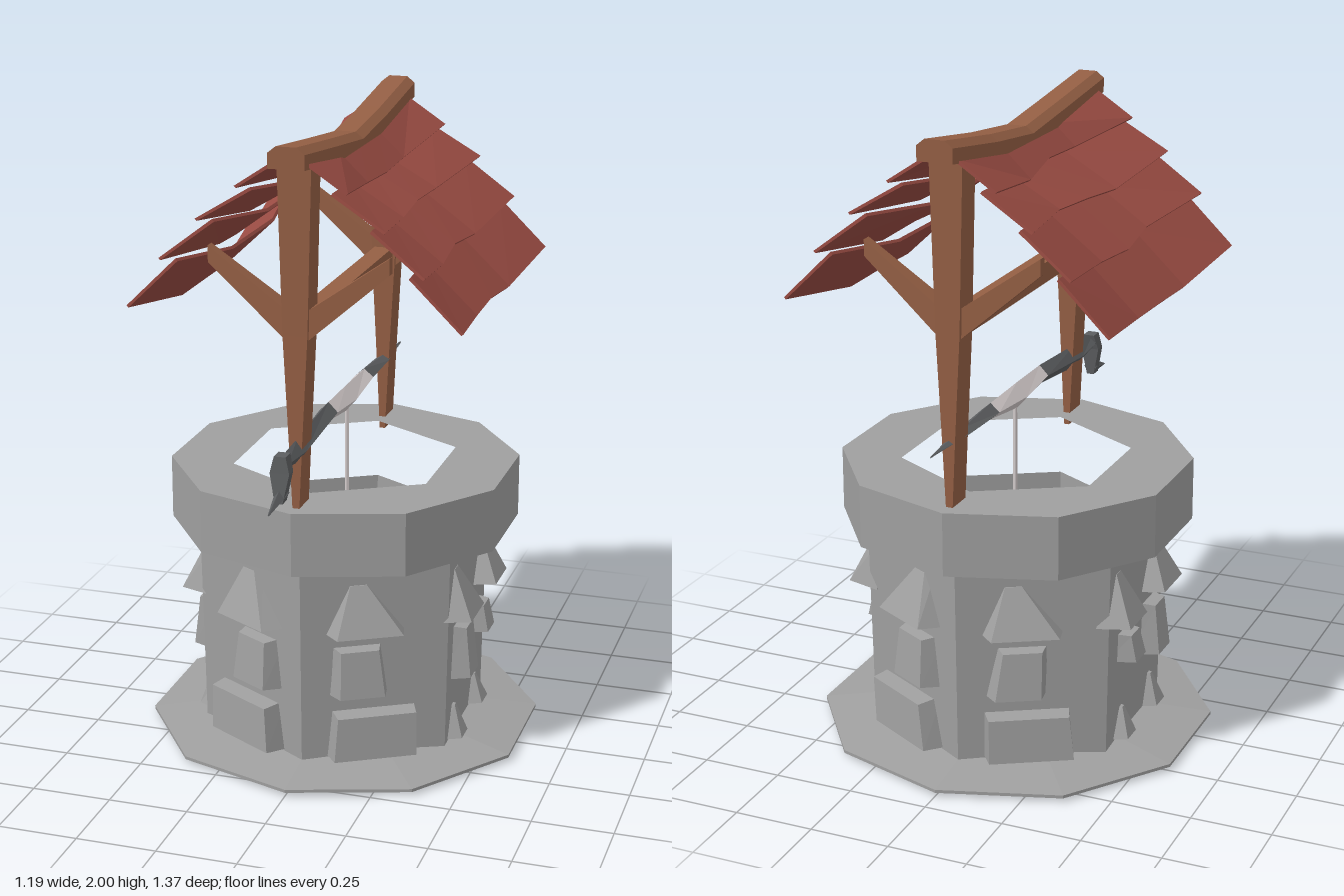
import * as THREE from 'three';

const mat = (name, color) => {
  const m = new THREE.MeshStandardMaterial({ color, flatShading: true });
  m.name = name;
  return m;
};

// Joins rings of equal point count into a closed solid
function loft(rings) {
  const n = rings[0].length, last = (rings.length - 1) * n;
  const pts = rings.flat(), index = [];
  for (let r = 0; r < rings.length - 1; r++) {
    for (let i = 0; i < n; i++) {
      const a = r * n + i, b = r * n + (i + 1) % n;
      index.push(a, b, b + n, a, b + n, a + n);
    }
  }
  for (let i = 1; i < n - 1; i++) {
    index.push(0, i + 1, i, last, last + i, last + i + 1);
  }
  // Turn all faces outward
  const v = pts.map((p) => new THREE.Vector3(...p));
  let volume = 0;
  for (let i = 0; i < index.length; i += 3) {
    volume += v[index[i]].dot(v[index[i + 1]].clone().cross(v[index[i + 2]]));
  }
  if (volume < 0) index.reverse();
  const g = new THREE.BufferGeometry();
  g.setAttribute('position', new THREE.Float32BufferAttribute(pts.flat(), 3));
  g.setIndex(index);
  const flat = g.toNonIndexed();
  flat.computeVertexNormals();
  return flat;
}

const rectY = (y, w, z0, d) => [[-w, y, z0 - d], [w, y, z0 - d], [w, y, z0 + d], [-w, y, z0 + d]];
const rectX = (x, y0, y1, z0, d) => [[x, y0, z0 - d], [x, y1, z0 - d], [x, y1, z0 + d], [x, y0, z0 + d]];
const diamond = (z, y, w, h) => [[-w, y, z], [0, y + h, z], [w, y, z], [0, y - h, z]];
const polygon = (n, r) => Array.from({ length: n }, (_, i) => {
  const a = (i / n) * Math.PI * 2;
  return new THREE.Vector2(Math.sin(a) * r, Math.cos(a) * r);
});

export function createModel() {
  const stone = mat('stone grey', 0x9f9f9f);
  const wood = mat('wood brown', 0x945f44);
  const red = mat('roof red', 0x9a4c43);
  const iron = mat('dark iron', 0x5c5e60);
  const pale = mat('pale rope', 0xd4cccc);

  const model = new THREE.Group();
  model.name = 'well';
  const well = new THREE.Group();
  well.name = 'wellParts';
  well.position.z = -0.055;
  model.add(well);
  const add = (name, geometry, material) => {
    const m = new THREE.Mesh(geometry, material);
    m.name = name;
    well.add(m);
    return m;
  };
  let seed = 11;
  const rnd = () => {
    seed = (seed * 16807) % 2147483647;
    return (seed / 2147483647) * 2 - 1;
  };
  const lathe = (pts, n) => new THREE.LatheGeometry(pts.map((p) => new THREE.Vector2(...p)), n);

  // Ten-sided ground plate, six-sided wall and shaft
  add('groundPlate', lathe([[0, 0], [0.625, 0.012], [0.625, 0.022], [0.4, 0.05], [0, 0.05]], 10), stone);
  add('wall', lathe([[0.458, 0.03], [0.47, 0.7]], 6), stone);
  add('shaft', lathe([[0.36, 0.7], [0.36, 0.06], [0, 0.06]], 6), stone);

  // Ten-sided rim with a six-sided hole
  const rimShape = new THREE.Shape(polygon(10, 0.55));
  rimShape.holes.push(new THREE.Path(polygon(6, 0.36)));
  const rim = new THREE.ExtrudeGeometry(rimShape, { depth: 0.2, bevelEnabled: false });
  add('rim', rim.rotateX(-Math.PI / 2).translate(0, 0.69, 0), stone);

  // Wall stones: [face angle, offset along face, centre y, width, height, kind], mirrored
  const TOP = { pinch: 0.25, front: 0.8, upDepth: 0.1, depth: 0.075 };
  const MID = { pinch: 0.85, front: 0.7, upDepth: 0.7, depth: 0.06 };
  const LOW = { pinch: 0.95, front: 0.93, upDepth: 0.85, depth: 0.065 };
  const CHIP = { pinch: 0.2, front: 0.6, upDepth: 0.2, depth: 0.04 };
  const end = (deg, s) => [
    [deg, s * 0.03, 0.54, 0.26, 0.165, TOP],
    [deg, s * 0.05, 0.335, 0.2, 0.165, MID],
    [deg, s * 0.01, 0.125, 0.28, 0.155, LOW],
  ];
  const stones = [
    ...end(30, -1), ...end(150, 1),
    [90, -0.145, 0.545, 0.2, 0.165, TOP], [90, 0.165, 0.545, 0.18, 0.165, TOP],
    [90, -0.115, 0.335, 0.14, 0.18, MID], [90, 0.1, 0.36, 0.12, 0.095, MID],
    [90, -0.145, 0.1, 0.12, 0.11, CHIP], [90, 0.115, 0.1, 0.12, 0.1, CHIP],
  ];
  for (const side of [-1, 1]) {
    for (const [deg, offset, y, w, h, kind] of stones) {
      const g = new THREE.BoxGeometry(1, 1, 1);
      const p = g.attributes.position;
      const lean = rnd() * 0.15;
      for (let i = 0; i < p.count; i++) {
        let x = p.getX(i), yy = p.getY(i);
        const up = yy > 0, out = p.getZ(i) > 0;
        if (up) x = x * kind.pinch + lean;
        if (out) { x *= kind.front; yy *= 0.9; }
        const z = out ? kind.depth * (up ? kind.upDepth : 1) : -0.03;
        p.setXYZ(i, x * w, yy * h, z);
      }
      const m = add('wallStone', g, stone);
      const a = THREE.MathUtils.degToRad(deg) * side, t = offset * side;
      m.position.set(Math.sin(a) * 0.4 + Math.cos(a) * t, y, Math.cos(a) * 0.4 - Math.sin(a) * t);
      m.rotation.y = a;
    }
  }

  // Tapered posts with a pair of braces each
  for (const z of [-0.455, 0.455]) {
    add('post', loft([rectY(0.85, 0.009, z, 0.045), rectY(1.1, 0.021, z, 0.045),
      rectY(1.42, 0.038, z, 0.044), rectY(1.93, 0.052, z, 0.044)]), wood);
    for (const s of [-1, 1]) {
      add('brace', loft([rectX(0, 1.38, 1.48, z, 0.032), rectX(s * 0.04, 1.41, 1.5, z, 0.032),
        rectX(s * 0.275, 1.615, 1.665, z, 0.016)]), wood);
    }
  }
  const crossBeam = new THREE.BoxGeometry(0.06, 0.065, 0.91);
  add('crossBeam', crossBeam.translate(0, 1.435, 0), wood);

  // Sagging ridge beam with chamfered top
  const ridge = (z, y) => [[-0.055, y - 0.065, z], [0.055, y - 0.065, z], [0.055, y - 0.02, z],
    [0.03, y, z], [-0.03, y, z], [-0.055, y - 0.02, z]];
  add('ridgeBeam', loft([ridge(-0.57, 2), ridge(-0.26, 1.955), ridge(0, 1.927),
    ridge(0.26, 1.955), ridge(0.57, 1.99)]), wood);

  // Four thin overlapping shingle rows per side, bent inward along the middle
  const eaves = [[0.05, 1.94], [0.17, 1.86], [0.285, 1.76], [0.4, 1.635], [0.51, 1.48]];
  for (const s of [-1, 1]) {
    for (let i = 1; i < 5; i++) {
      const [lx, ly] = eaves[i];
      const [ux, uy] = i === 1 ? eaves[0] : [eaves[i - 1][0] - 0.046, eaves[i - 1][1] - 0.002];
      const rings = [-1, -0.36, 0, 0.36, 1].map((u) => {
        const bend = Math.abs(u) === 1 ? 0 : 1;
        const j = bend * rnd() * 0.014, z = u * 0.527, zl = u * (i === 2 || i === 3 ? 0.545 : 0.53);
        const topX = s * (ux - (i === 1 ? 0.01 : 0.05) * bend), topY = uy - 0.04 * bend;
        const lowX = s * (lx - 0.05 * bend + j), lowY = ly - 0.035 * bend - j;
        return [[topX, topY, z], [lowX, lowY, zl],
          [lowX - s * 0.006, lowY - 0.006, zl], [topX - s * 0.006, topY - 0.008, z]];
      });
      add('shingleRow', loft(rings), red);
    }
  }

  // Winch: pale wound rope, iron axle ends, crank with a pointed grip
  add('woundRope', loft([diamond(-0.2, 1.092, 0.03, 0.026), diamond(0, 1.08, 0.036, 0.042),
    diamond(0.18, 1.092, 0.03, 0.031)]), pale);
  add('axleBack', loft([diamond(-0.2, 1.092, 0.03, 0.026), diamond(-0.4, 1.09, 0.024, 0.014),
    diamond(-0.62, 1.088, 0.003, 0.003)]), iron);
  add('axleFront', loft([diamond(0.18, 1.092, 0.03, 0.031), diamond(0.48, 1.066, 0.028, 0.038),
    diamond(0.64, 1.075, 0.022, 0.02)]), iron);
  add('crankArm', loft([rectY(1.1, 0.018, 0.622, 0.022), rectY(1.05, 0.03, 0.63, 0.018),
    rectY(0.96, 0.012, 0.638, 0.02)]), iron);
  add('crankGrip', loft([diamond(0.62, 0.985, 0.022, 0.028), diamond(0.745, 0.957, 0.003, 0.003)]), iron);

  // Hanging rope
  const rope = new THREE.CylinderGeometry(0.007, 0.007, 1, 5);
  add('hangingRope', rope.translate(0, 0.56, -0.015), pale);

  return model;
}
